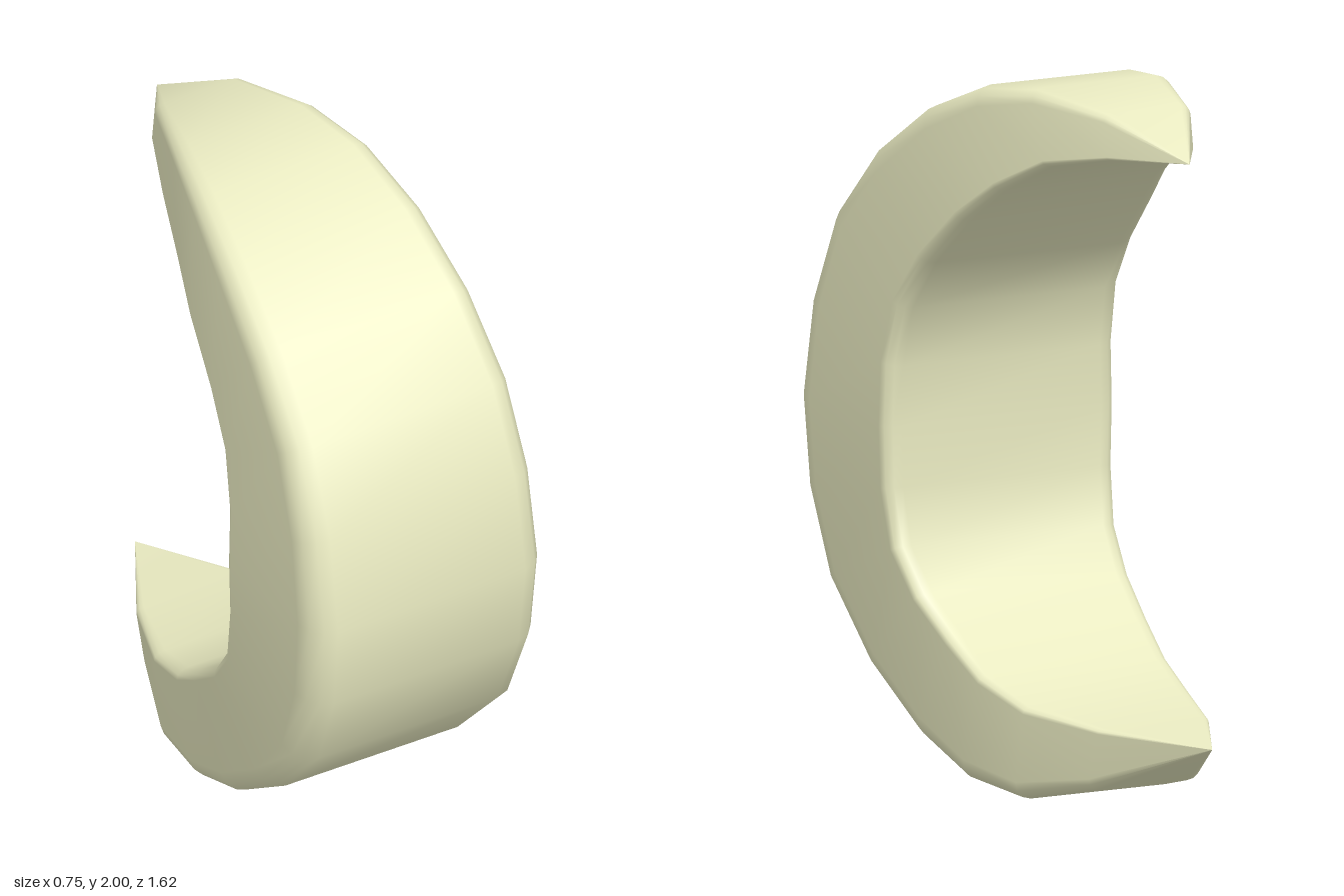
import * as THREE from 'three';

// Stations from lower tip to upper tip: outer z, outer y, inner z, inner y, half width
const STATIONS = [
  [-0.81, 0.215, -0.81, 0.215, 0],
  [-0.44, 0.06, -0.50, 0.242, 0.18],
  [-0.20, 0.005, -0.25, 0.275, 0.27],
  [0.03, 0.03, -0.07, 0.34, 0.305],
  [0.25, 0.12, 0.06, 0.43, 0.325],
  [0.48, 0.28, 0.19, 0.53, 0.345],
  [0.68, 0.50, 0.28, 0.65, 0.36],
  [0.78, 0.75, 0.31, 0.81, 0.37],
  [0.81, 1.01, 0.31, 0.98, 0.375],
  [0.76, 1.29, 0.31, 1.15, 0.37],
  [0.65, 1.54, 0.27, 1.32, 0.36],
  [0.46, 1.74, 0.17, 1.46, 0.345],
  [0.23, 1.89, 0.02, 1.60, 0.32],
  [0.00, 1.98, -0.11, 1.70, 0.28],
  [-0.21, 2.00, -0.28, 1.79, 0.225],
  [-0.46, 1.96, -0.48, 1.83, 0.14],
  [-0.69, 1.84, -0.69, 1.84, 0],
];

// Rounded rectangle: [side -1..1, depth 0 (inner)..1 (outer)]
function crossSection() {
  const steps = 3, points = [];
  const corners = [[1, 1, 0.2, 0.19], [1, 0, 0.14, 0.08], [-1, 0, 0.14, 0.08], [-1, 1, 0.2, 0.19]];
  corners.forEach(([sx, depth, rx, rd], c) => {
    for (let k = 0; k <= steps; k++) {
      const a = (c + k / steps) * Math.PI / 2;
      const cd = depth ? 1 - rd : rd;
      points.push([sx * (1 - rx) + Math.sin(a) * rx, cd + Math.cos(a) * rd]);
    }
  });
  return points;
}

// Loft the cross-section through all stations
function crescentGeometry() {
  const section = crossSection(), n = section.length;
  const positions = [], index = [];
  STATIONS.forEach(([oz, oy, iz, iy, w], i) => {
    section.forEach(([s, d], j) => {
      positions.push(s * w, iy + (oy - iy) * d, iz + (oz - iz) * d);
      if (i === STATIONS.length - 1) return;
      const a = i * n + j, b = i * n + (j + 1) % n;
      if (i < STATIONS.length - 2) index.push(a, b + n, a + n);
      if (i > 0) index.push(a, b, b + n);
    });
  });
  const geometry = new THREE.BufferGeometry();
  geometry.setAttribute('position', new THREE.Float32BufferAttribute(positions, 3));
  geometry.setIndex(index);
  geometry.computeVertexNormals();
  return geometry;
}

export function createModel() {
  const group = new THREE.Group();
  group.name = 'crescent';
  const material = new THREE.MeshStandardMaterial({ color: 0xe8e9c0 });
  const body = new THREE.Mesh(crescentGeometry(), material);
  body.name = 'crescentBody';
  group.add(body);
  return group;
}
